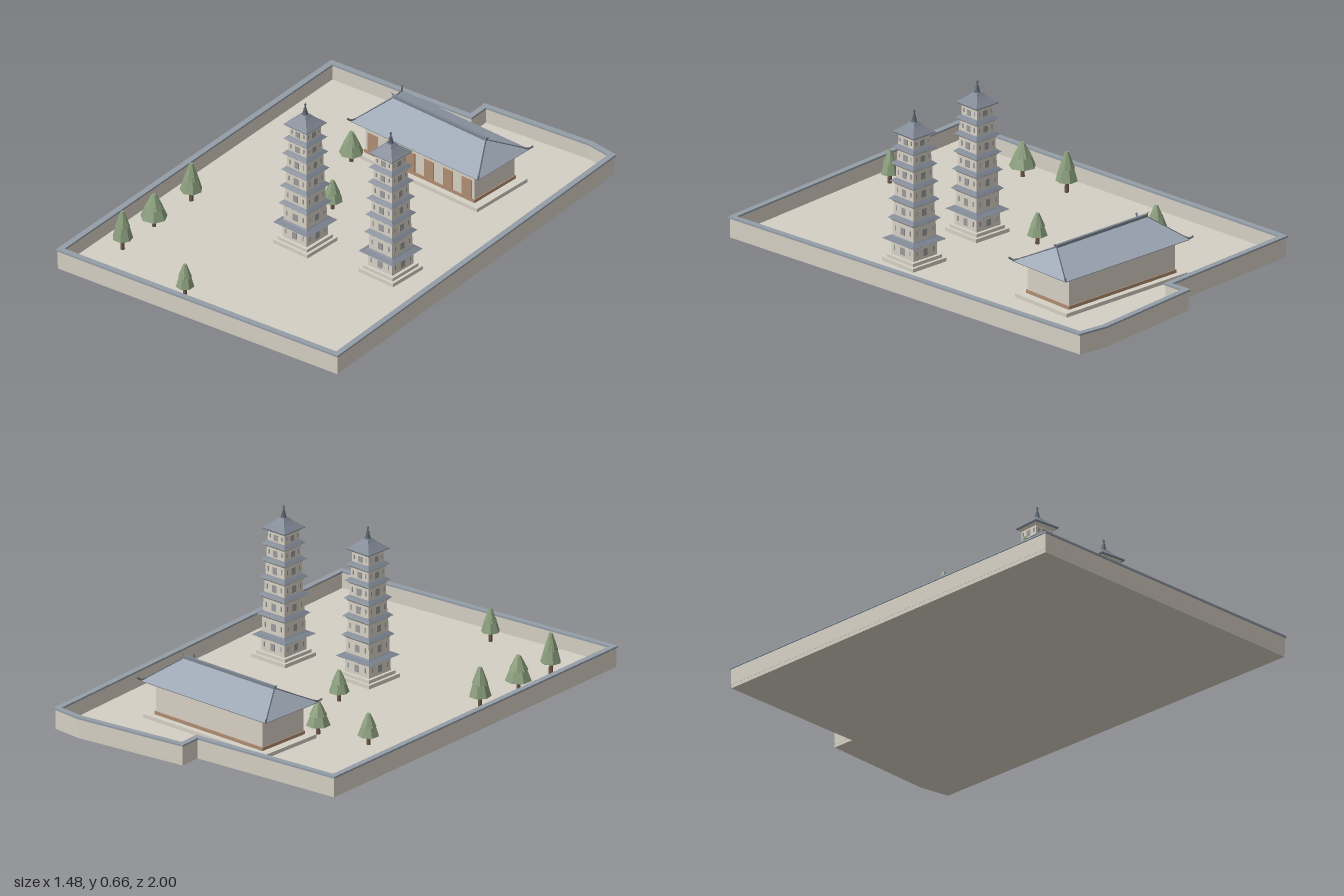
import * as THREE from 'three';

const mat = (name, color) => new THREE.MeshStandardMaterial({ name, color });

export function createModel() {
  const M = {
    ground: mat('packed earth', 0xd5cfc3),
    wall: mat('pale masonry', 0xd6d0c4),
    coping: mat('wall coping', 0x949da8),
    tile: mat('roof tile', 0x9ca6b3),
    eave: mat('tower tile', 0x7d8591),
    dark: mat('dark ridge tile', 0x5f6671),
    window: mat('window grey', 0x9a9a9c),
    door: mat('door wood', 0xb08d72),
    leaf: mat('foliage', 0x8a9e7c),
    trunk: mat('trunk', 0x6e5a48),
  };
  for (const m of [M.leaf, M.trunk]) m.flatShading = true;
  const root = new THREE.Group();

  const add = (parent, name, geo, material, x = 0, y = 0, z = 0) => {
    const mesh = new THREE.Mesh(geo, material);
    mesh.name = name;
    mesh.position.set(x, y, z);
    parent.add(mesh);
    return mesh;
  };
  const box = (parent, name, w, h, d, material, x, y, z) =>
    add(parent, name, new THREE.BoxGeometry(w, h, d), material, x, y, z);
  const group = (name, x, z) => {
    const g = new THREE.Group();
    g.name = name;
    g.position.set(x, 0, z);
    root.add(g);
    return g;
  };

  // Closed solid through rectangular sections [halfX, halfZ, y]
  const stack = (levels) => {
    const p = [];
    const signs = [[1, 1], [1, -1], [-1, -1], [-1, 1]];
    const at = ([hx, hz, y], k) => [signs[k % 4][0] * hx, y, signs[k % 4][1] * hz];
    const quad = (a, b, c, d) => p.push(...a, ...b, ...c, ...a, ...c, ...d);
    for (let i = 0; i < levels.length - 1; i++)
      for (let k = 0; k < 4; k++)
        quad(at(levels[i], k), at(levels[i], k + 1), at(levels[i + 1], k + 1), at(levels[i + 1], k));
    const first = levels[0], last = levels[levels.length - 1];
    quad(at(first, 3), at(first, 2), at(first, 1), at(first, 0));
    quad(at(last, 0), at(last, 1), at(last, 2), at(last, 3));
    const g = new THREE.BufferGeometry();
    g.setAttribute('position', new THREE.Float32BufferAttribute(p, 3));
    g.computeVertexNormals();
    return g;
  };

  // Courtyard outline (x, -z), moved inward by a mitred offset
  const outline = [[-0.74, -0.78], [-0.065, -0.84], [-0.073, -0.935], [0.435, -1], [0.57, -0.987],
    [0.738, 0.868], [-0.622, 1]].map(([x, z]) => new THREE.Vector2(x, -z));
  const side = Math.sign(THREE.ShapeUtils.area(outline));
  const inset = (d) => outline.map((p, i) => {
    const n = outline.length;
    const e1 = p.clone().sub(outline[(i + n - 1) % n]).normalize();
    const e2 = outline[(i + 1) % n].clone().sub(p).normalize();
    const n1 = new THREE.Vector2(-e1.y, e1.x), n2 = new THREE.Vector2(-e2.y, e2.x);
    return p.clone().addScaledVector(n1.clone().add(n2), side * d / (1 + n1.dot(n2)));
  });
  const slab = (outer, inner, depth) => {
    const s = new THREE.Shape(inset(outer));
    // The hole runs opposite to the outline so its walls face inward
    if (inner) s.holes.push(new THREE.Path(inset(inner).reverse()));
    return new THREE.ExtrudeGeometry(s, { depth, bevelEnabled: false }).rotateX(-Math.PI / 2);
  };
  const F = 0.016;
  add(root, 'courtyardGround', slab(0.006, 0, F), M.ground);
  add(root, 'perimeterWall', slab(0.005, 0.02, 0.067), M.wall, 0, F);
  add(root, 'wallCoping', slab(0, 0.025, 0.008), M.coping, 0, 0.082);

  // Tapering seven-storey towers
  const eaves = [0.112, 0.2, 0.28, 0.355, 0.43, 0.498, 0.563];
  const tower = (name, x, z) => {
    const g = group(name, x, z);
    box(g, 'plinth', 0.18, 0.016, 0.18, M.wall, 0, F + 0.008, 0);
    box(g, 'upperPlinth', 0.155, 0.014, 0.155, M.wall, 0, F + 0.023, 0);
    let base = F + 0.03;
    eaves.forEach((y, i) => {
      const h = 0.064 - i * 0.0032;
      const e = i === 0 ? 0.09 : h + 0.014;
      const top = y - 0.012;
      add(g, 'storey', stack([[h, h, base], [h - 0.001, h - 0.001, top]]), M.wall);
      add(g, 'eaveCorbel', stack([[h, h, top], [e - 0.006, e - 0.006, y - 0.002]]), M.wall);
      if (i < eaves.length - 1) {
        add(g, 'eaveRoof', stack([[e - 0.003, e - 0.003, y - 0.002], [e, e, y],
          [h + 0.004, h + 0.004, y + 0.009], [h - 0.004, h - 0.004, y + 0.015]]), M.eave);
      } else {
        add(g, 'topRoof', stack([[e, e, y - 0.002], [e + 0.002, e + 0.002, y + 0.002],
          [0.04, 0.04, y + 0.018], [0.024, 0.024, y + 0.032], [0.014, 0.014, y + 0.044]]), M.eave);
      }
      // Central opening and two narrow side panels on each face
      const mid = (base + top) / 2, wh = Math.min(0.03, (top - base) * 0.6);
      for (let k = 0; k < 4; k++) {
        const face = new THREE.Group();
        face.name = 'storeyWindows';
        face.rotation.y = k * Math.PI / 2;
        g.add(face);
        box(face, 'window', 0.023, wh, 0.002, M.window, 0, mid, h);
        for (const s of [-1, 1]) box(face, 'sidePanel', 0.006, wh * 0.7, 0.002, M.window, s * h * 0.7, mid + 0.003, h);
      }
      base = y + 0.012;
    });
    // Ringed finial
    const profile = [[0, 0.6], [0.014, 0.6], [0.014, 0.607], [0.006, 0.61], [0.011, 0.616], [0.005, 0.619],
      [0.009, 0.625], [0.004, 0.628], [0.007, 0.634], [0.003, 0.637], [0.003, 0.646], [0.005, 0.651], [0, 0.66]];
    add(g, 'finial', new THREE.LatheGeometry(profile.map((p) => new THREE.Vector2(...p)), 8), M.dark);
  };
  tower('centreTower', 0, 0.22);
  tower('leftTower', 0.395, 0.16);

  // Hall with straight-hipped roof
  const hall = group('hall', 0.04, -0.54);
  box(hall, 'plinth', 0.65, 0.016, 0.3, M.wall, 0, F + 0.008, 0);
  box(hall, 'body', 0.57, 0.14, 0.24, M.wall, 0, 0.102, 0);
  box(hall, 'sill', 0.578, 0.014, 0.248, M.door, 0, 0.039, 0);
  for (let i = 0; i < 6; i++) box(hall, 'door', 0.05, 0.097, 0.006, M.door, -0.247 + i * 0.0988, 0.081, 0.121);
  add(hall, 'roof', stack([[0.331, 0.152, 0.167], [0.333, 0.154, 0.171], [0.244, 0.006, 0.246]]), M.tile);
  box(hall, 'mainRidge', 0.49, 0.016, 0.012, M.eave, 0, 0.25, 0);
  for (const sx of [-1, 1]) {
    const horn = add(hall, 'ridgeHorn', new THREE.ConeGeometry(0.006, 0.028, 4), M.dark, sx * 0.247, 0.258, 0);
    horn.rotation.z = -sx * 0.9;
    for (const sz of [-1, 1]) {
      const hip = new THREE.LineCurve3(new THREE.Vector3(sx * 0.244, 0.246, sz * 0.006), new THREE.Vector3(sx * 0.333, 0.171, sz * 0.154));
      add(hall, 'hipRidge', new THREE.TubeGeometry(hip, 1, 0.0025, 5), M.dark);
      const tip = new THREE.QuadraticBezierCurve3(new THREE.Vector3(sx * 0.322, 0.18, sz * 0.136),
        new THREE.Vector3(sx * 0.333, 0.169, sz * 0.154), new THREE.Vector3(sx * 0.343, 0.186, sz * 0.165));
      add(hall, 'curledTip', new THREE.TubeGeometry(tip, 6, 0.004, 5), M.dark);
    }
  }

  // Trees: x, z, top height, radius
  const trees = [[-0.54, 0.285, 0.187, 0.046], [-0.525, 0.525, 0.162, 0.055], [-0.505, 0.735, 0.19, 0.042],
    [-0.095, 0.83, 0.157, 0.038], [-0.083, -0.038, 0.146, 0.042], [-0.26, -0.352, 0.152, 0.05], [-0.48, -0.298, 0.147, 0.044]];
  trees.forEach(([x, z, top, r], i) => {
    const g = group('tree', x, z);
    g.rotation.y = i * 0.7;
    const low = F + (top - F) * 0.3, H = top - low;
    add(g, 'trunk', new THREE.CylinderGeometry(0.007, 0.009, low + 0.02 - F, 6), M.trunk, 0, (low + 0.02 + F) / 2, 0);
    add(g, 'lowerFoliage', new THREE.CylinderGeometry(r * 0.55, r, H * 0.58, 7), M.leaf, 0, low + H * 0.29, 0);
    const crown = add(g, 'upperFoliage', new THREE.CylinderGeometry(r * 0.18, r * 0.72, H * 0.58, 7), M.leaf, 0, top - H * 0.29, 0);
    crown.rotation.y = 0.3;
  });
  return root;
}
